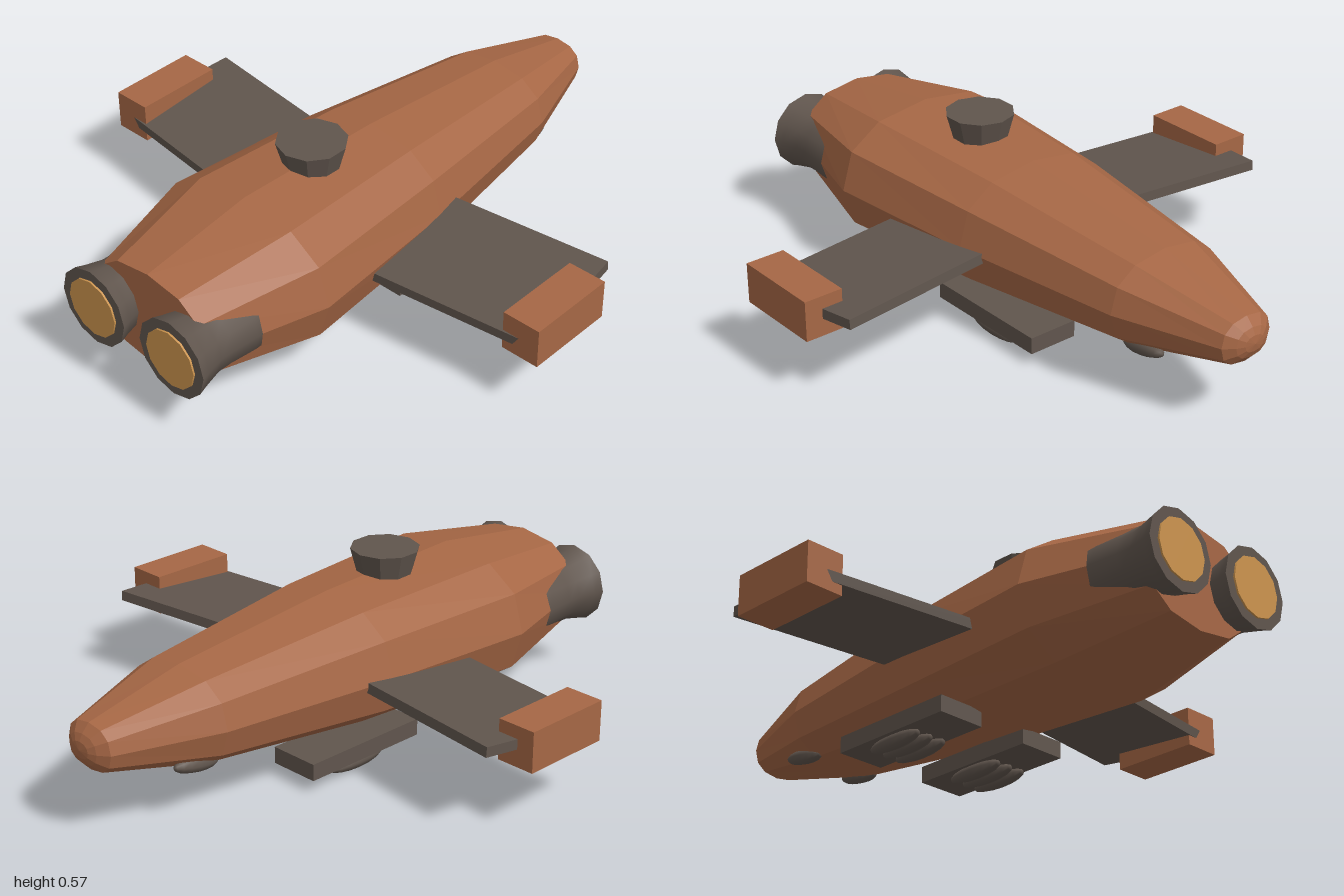
import * as THREE from 'three';
import { toCreasedNormals } from 'three/addons/utils/BufferGeometryUtils.js';

const material = (name, color) => Object.assign(new THREE.MeshStandardMaterial({ color }), { name });

// Faceted loft through twelve-sided, slightly squared rings: [z, half width, half height]
function loft(rings, cy) {
  const N = 12, pos = [], idx = [];
  const soft = (v) => Math.sign(v) * Math.pow(Math.abs(v), 0.84);
  for (const [z, rx, ry] of rings) {
    for (let j = 0; j < N; j++) {
      const a = (j / N) * Math.PI * 2;
      pos.push(rx * soft(Math.cos(a)), cy + ry * soft(Math.sin(a)), z);
    }
  }
  const last = rings.length - 1, rear = rings.length * N, nose = rear + 1;
  pos.push(0, cy, rings[0][0], 0, cy, rings[last][0] - 0.004);
  for (let j = 0; j < N; j++) {
    const k = (j + 1) % N;
    for (let i = 0; i < last; i++) {
      const a = i * N + j, b = i * N + k;
      idx.push(a, a + N, b, b, a + N, b + N);
    }
    idx.push(rear, j, k, nose, last * N + k, last * N + j);
  }
  const geo = new THREE.BufferGeometry();
  geo.setAttribute('position', new THREE.Float32BufferAttribute(pos, 3));
  geo.setIndex(idx);
  const flat = geo.toNonIndexed();
  flat.computeVertexNormals();
  return flat;
}

export function createModel() {
  const group = new THREE.Group();
  const rust = material('rust hull', 0xa66745);
  const grey = material('warm grey metal', 0x60554d);
  const gold = material('engine glow', 0xcc944e);

  const add = (name, geo, mat, x, y, z) => {
    const mesh = new THREE.Mesh(geo, mat);
    mesh.name = name;
    mesh.position.set(x, y, z);
    group.add(mesh);
    return mesh;
  };

  // Hull from tail to rounded nose
  add('hull', loft([
    [0.92, 0.23, 0.17], [0.53, 0.34, 0.227], [-0.02, 0.293, 0.208],
    [-0.62, 0.21, 0.15], [-0.96, 0.096, 0.075], [-0.985, 0.062, 0.048], [-0.996, 0.036, 0.026],
  ], 0.29), rust, 0, 0, 0);

  // Turret on the back
  add('turret', toCreasedNormals(new THREE.CylinderGeometry(0.112, 0.085, 0.1, 10), 0.3), grey, 0, 0.525, 0.243);

  // Shared geometries for the mirrored parts
  const profile = [[0, 0.68], [0.115, 0.68], [0.115, 0.76], [0.108, 0.85], [0.108, 0.9], [0.122, 0.96], [0.132, 0.994], [0, 0.994]];
  const engineGeo = toCreasedNormals(
    new THREE.LatheGeometry(profile.map(([r, z]) => new THREE.Vector2(r, z)), 12).rotateX(Math.PI / 2), 0.7);
  const glowGeo = new THREE.CylinderGeometry(0.098, 0.098, 0.008, 12).rotateX(Math.PI / 2);
  const wingGeo = new THREE.BoxGeometry(0.7, 0.033, 0.42);
  const podGeo = new THREE.BoxGeometry(0.13, 0.132, 0.306);
  const rackGeo = new THREE.BoxGeometry(0.17, 0.055, 0.455);
  const bombGeo = new THREE.SphereGeometry(1, 8, 8).rotateX(Math.PI / 2).scale(0.026, 0.026, 0.11);
  const gunGeo = new THREE.SphereGeometry(1, 8, 8).rotateX(Math.PI / 2).scale(0.026, 0.026, 0.085);

  for (const [s, side] of [[1, 'left'], [-1, 'right']]) {
    // Engine bell with glowing disc
    add(side + 'Engine', engineGeo, grey, s * 0.165, 0.29, 0);
    add(side + 'EngineGlow', glowGeo, gold, s * 0.165, 0.29, 0.996);

    // Forward-swept wing, leading edge pitched up, with a block at its tip
    const wing = add(side + 'Wing', wingGeo, grey, s * 0.495, 0.27, 0.073);
    wing.rotation.set(0.08, s * 0.124, 0, 'YXZ');
    add(side + 'WingTipPod', podGeo, rust, s * 0.825, 0.27, 0.092);

    // Belly rack carrying three slim bombs
    add(side + 'BellyRack', rackGeo, grey, s * 0.175, 0.069, -0.098);
    for (let i = -1; i <= 1; i++) {
      add(side + 'Bomb', bombGeo, grey, s * (0.173 + i * 0.053), 0.026, -0.11);
    }

    // Small gun blister under the nose
    add(side + 'NoseBlister', gunGeo, grey, s * 0.12, 0.172, -0.668).rotation.x = 0.16;
  }
  return group;
}
